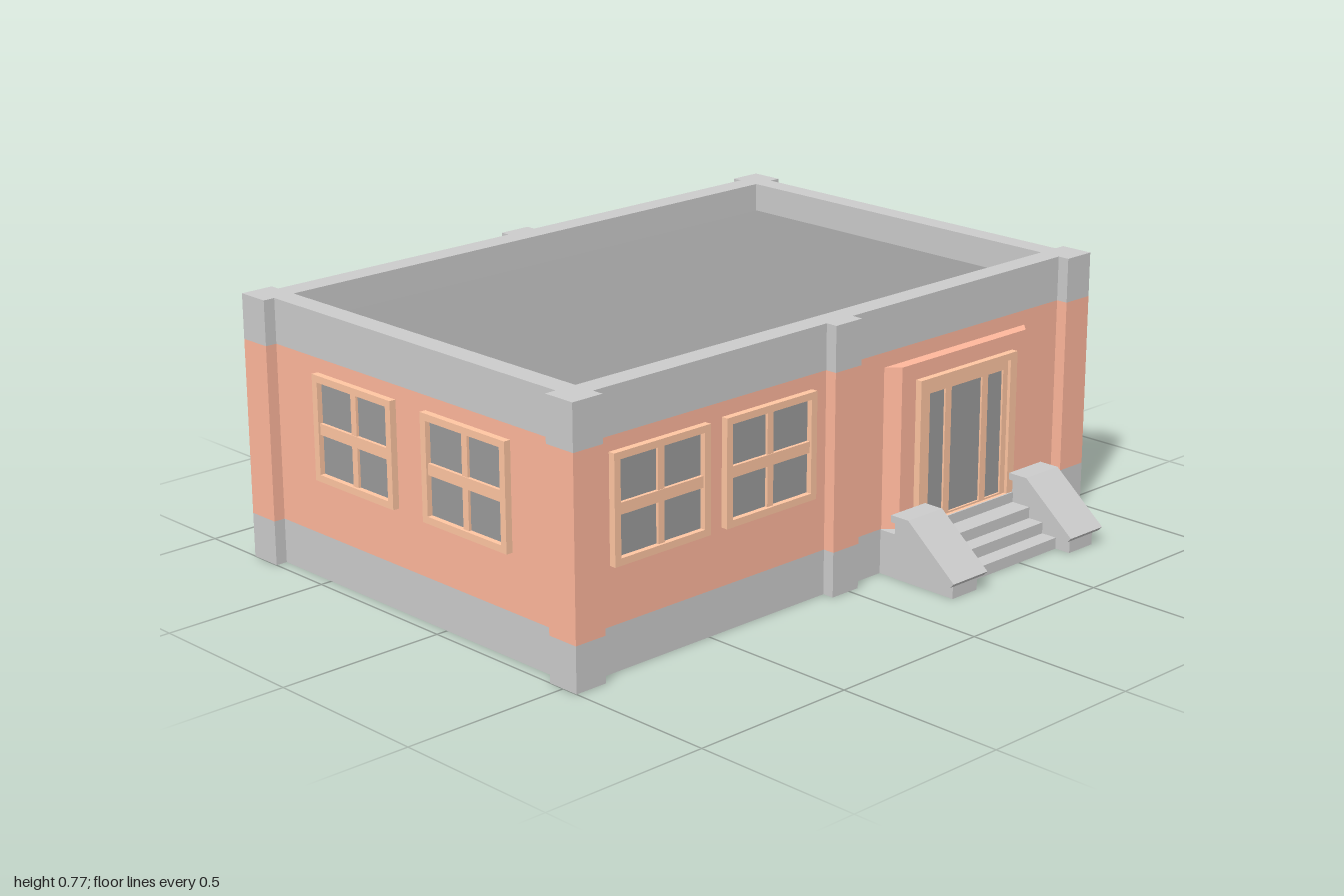
import * as THREE from 'three';

const mat = (color) => new THREE.MeshStandardMaterial({ color, flatShading: true });

function rect(x0, y0, x1, y1, Type = THREE.Shape) {
  return new Type([[x0, y0], [x1, y0], [x1, y1], [x0, y1]].map(p => new THREE.Vector2(...p)));
}

// Plan outline given as [x, z] pairs
function plan(points) {
  return new THREE.Shape(points.map(([x, z]) => new THREE.Vector2(x, -z)));
}

export function createModel() {
  const model = new THREE.Group();
  model.name = 'building';
  const grey = mat(0xcccccc), base = mat(0xbdbdbd), dark = mat(0x9b9b9b);
  const wall = mat(0xffb79c), trim = mat(0xffc6a2);

  function add(parent, name, geometry, material) {
    const mesh = new THREE.Mesh(geometry, material);
    mesh.name = name;
    parent.add(mesh);
    return mesh;
  }
  function box(parent, name, material, x0, x1, y0, y1, z0, z1) {
    const m = add(parent, name, new THREE.BoxGeometry(x1 - x0, y1 - y0, z1 - z0), material);
    m.position.set((x0 + x1) / 2, (y0 + y1) / 2, (z0 + z1) / 2);
    return m;
  }
  const extrude = (shape, depth) => new THREE.ExtrudeGeometry(shape, { depth, bevelEnabled: false });
  // Extrude a plan shape upward from y0 to y1
  function storey(name, shape, y0, y1, material) {
    const g = extrude(shape, y1 - y0);
    g.rotateX(-Math.PI / 2).translate(0, y0, 0);
    return add(model, name, g, material);
  }

  // Wall bands share one outline with corner and middle pilasters
  const F = 0.55, B = -0.805, f = 0.515, b = -0.775, s = 0.965;
  const outline = () => plan([
    [-1, F], [-0.9, F], [-0.9, f], [-0.065, f], [-0.065, F], [0.035, F], [0.035, f], [0.9, f], [0.9, F], [1, F],
    [1, 0.45], [s, 0.45], [s, -0.705], [1, -0.705], [1, B],
    [0.9, B], [0.9, b], [0.035, b], [0.035, B], [-0.065, B], [-0.065, b], [-0.9, b], [-0.9, B], [-1, B],
    [-1, -0.705], [-s, -0.705], [-s, 0.45], [-1, 0.45],
  ]);
  storey('plinth', outline(), 0, 0.13, base);
  storey('walls', outline(), 0.13, 0.64, wall);
  const parapet = outline();
  parapet.holes.push(rect(-0.9, -0.45, 0.9, 0.705, THREE.Path));
  storey('parapet', parapet, 0.64, 0.77, grey);
  box(model, 'roof', dark, -0.9, 0.9, 0.64, 0.685, -0.705, 0.45);

  // Four-pane window, local origin at its centre on the wall face
  function windowUnit(x, z, turn, frameMaterial = trim) {
    const g = new THREE.Group();
    g.name = 'window';
    const w = 0.168, h = 0.152;
    const frame = rect(-w, -h, w, h);
    frame.holes.push(rect(-w + 0.021, -h + 0.02, w - 0.021, h - 0.02, THREE.Path));
    add(g, 'windowFrame', extrude(frame, 0.02), frameMaterial);
    box(g, 'glass', dark, -w + 0.01, w - 0.01, -h + 0.01, h - 0.01, 0, 0.004);
    box(g, 'crossBar', frameMaterial, -w + 0.01, w - 0.01, -0.018, 0.014, 0, 0.014);
    box(g, 'mullion', frameMaterial, -0.011, 0.011, -h + 0.01, h - 0.01, 0, 0.012);
    g.position.set(x, 0.447, z);
    g.rotation.y = turn;
    model.add(g);
  }
  for (const x of [-0.682, -0.287]) windowUnit(x, f, 0);
  for (const x of [-0.682, -0.287, 0.268, 0.662]) windowUnit(x, b, Math.PI);
  for (const z of [0.105, -0.355]) {
    windowUnit(s, z, Math.PI / 2, z > 0 ? grey : trim);
    windowUnit(-s, z, -Math.PI / 2);
  }

  // Entrance: splayed surround, frame and glazed door
  const cx = 0.46;
  storey('doorSurround', plan([[cx - 0.295, f], [cx - 0.26, F], [cx + 0.26, F], [cx + 0.295, f]]), 0.13, 0.597, wall);
  const entrance = new THREE.Group();
  entrance.name = 'entrance';
  entrance.position.set(cx, 0, F);
  model.add(entrance);
  const doorFrame = rect(-0.203, 0.13, 0.203, 0.55);
  doorFrame.holes.push(rect(-0.175, 0.13, 0.175, 0.53, THREE.Path));
  add(entrance, 'doorFrame', extrude(doorFrame, 0.02), trim);
  const door = rect(-0.175, 0.13, 0.175, 0.53);
  for (const [x0, x1] of [[-0.155, -0.09], [-0.065, 0.065], [0.09, 0.155]]) {
    door.holes.push(rect(x0, 0.135, x1, 0.502, THREE.Path));
  }
  add(entrance, 'door', extrude(door, 0.01), trim);
  box(entrance, 'doorGlass', dark, -0.17, 0.17, 0.13, 0.52, 0, 0.004);

  // Landing and steps
  box(model, 'landing', base, cx - 0.298, cx + 0.298, 0, 0.129, f - 0.01, 0.573);
  [0.735, 0.685, 0.635].forEach((z, i) =>
    box(model, 'step', grey, cx - 0.2, cx + 0.2, 0, 0.033 * (i + 1), 0.56, z));

  // Cheek walls with sloping copings; profiles are [z, y]
  function profile(points, width) {
    const g = extrude(new THREE.Shape(points.map(([z, y]) => new THREE.Vector2(-z, y))), width);
    return g.translate(0, 0, -width / 2).rotateY(Math.PI / 2);
  }
  for (const side of [-1, 1]) {
    const cheek = add(model, 'stepCheek',
      profile([[0.785, 0], [0.57, 0], [0.57, 0.172], [0.63, 0.172], [0.785, 0.045]], 0.1), base);
    cheek.position.x = cx + side * 0.25;
    const coping = add(model, 'stepCoping',
      profile([[0.805, 0.053], [0.793, 0.04], [0.63, 0.172], [0.573, 0.172], [0.573, 0.192], [0.636, 0.192]], 0.14), grey);
    coping.position.x = cx + side * 0.25;
  }
  return model;
}
